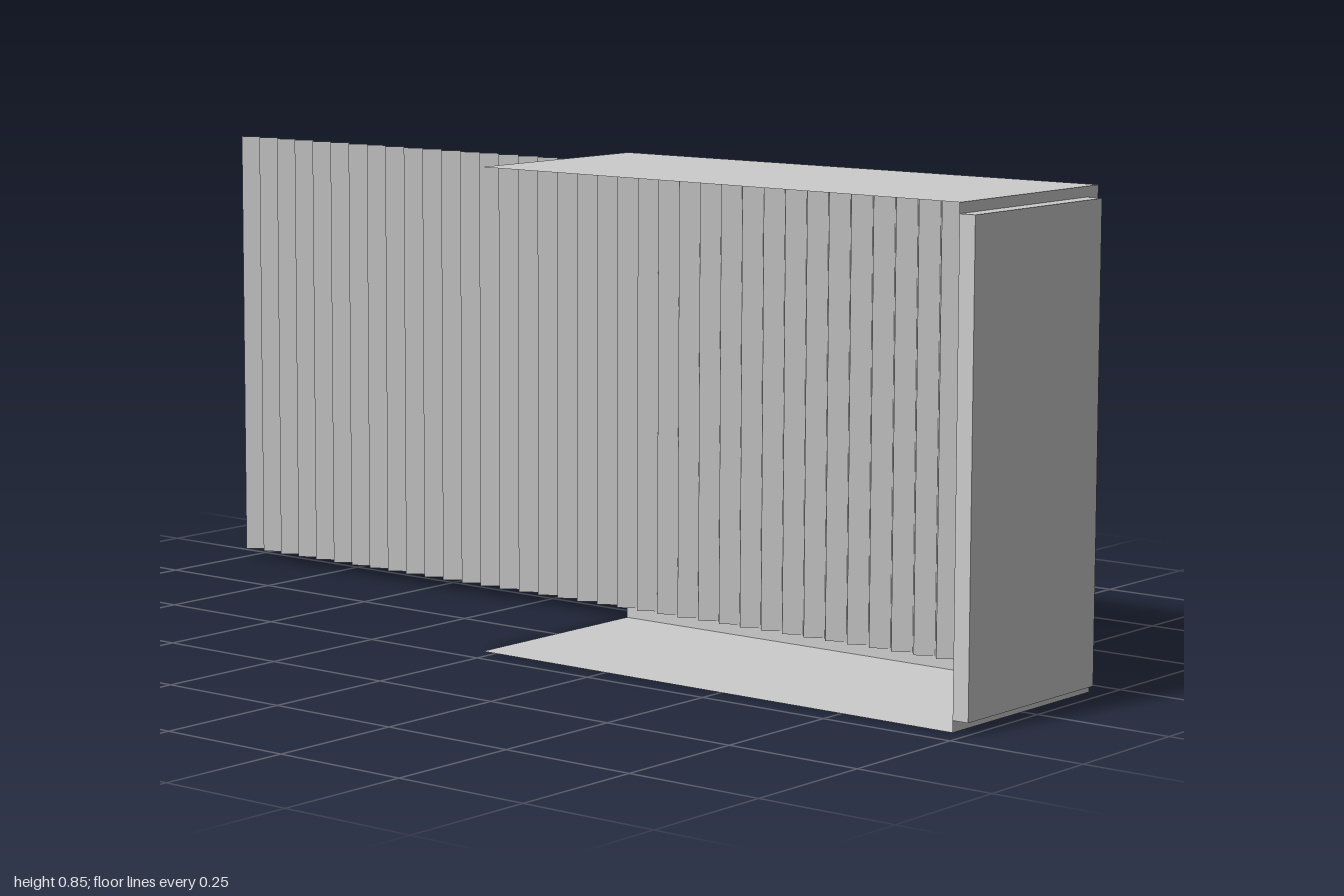
import * as THREE from 'three';

const material = new THREE.MeshStandardMaterial({
  color: 0xcccccc, side: THREE.DoubleSide, flatShading: true,
});

// Overall sizes of the open shell
const X0 = -0.03, X1 = 0.97, H = 0.853, Z = 0.2;
const Y_IN0 = 0.02, Y_IN1 = 0.835; // inner edge of the rims
const X_IN = 0.94, Z_IN = -0.165, X_END = 1;

// Flat rim with three sides; the fourth side (u = a) is open
function rim(a, b, inner) {
  const s = new THREE.Shape([
    [a, 0], [b, 0], [b, H], [a, H], [a, Y_IN1], [inner, Y_IN1], [inner, Y_IN0], [a, Y_IN0],
  ].map(([u, v]) => new THREE.Vector2(u, v)));
  return new THREE.ShapeGeometry(s);
}

// Upright sheet that follows a ground path of [x, z] points
function sheet(path, y0, y1) {
  const pos = [], index = [];
  path.forEach(([x, z], i) => {
    pos.push(x, y0, z, x, y1, z);
    if (i) {
      const k = 2 * i;
      index.push(k - 2, k, k + 1, k - 2, k + 1, k - 1);
    }
  });
  const g = new THREE.BufferGeometry();
  g.setAttribute('position', new THREE.Float32BufferAttribute(pos, 3));
  g.setIndex(index);
  g.computeVertexNormals();
  return g;
}

// Horizontal sheet
function slab(x0, x1, z0, z1, y) {
  return new THREE.PlaneGeometry(x1 - x0, z1 - z0)
    .rotateX(-Math.PI / 2)
    .translate((x0 + x1) / 2, y, (z0 + z1) / 2);
}

export function createModel() {
  const group = new THREE.Group();
  const add = (name, geometry) => {
    const mesh = new THREE.Mesh(geometry, material);
    mesh.name = name;
    group.add(mesh);
  };

  // Roof and floor
  add('roof', slab(X0, X1, -Z, Z, H));
  add('floor', slab(X0, X1, -Z, Z, 0));

  // Rims around the back wall and the end wall
  add('backRim', rim(X0, X1, X_IN).translate(0, 0, -Z));
  add('endRim', rim(-Z, Z, -Z_IN).rotateY(Math.PI / 2).translate(X1, 0, 0));

  // Raised end panel
  add('endPanelSides', sheet([[X1, Z], [X_END, Z], [X_END, Z_IN], [X1, Z_IN]], Y_IN0, Y_IN1));
  add('endPanelTop', slab(X1, X_END, Z_IN, Z, Y_IN1));
  add('endPanelBottom', slab(X1, X_END, Z_IN, Z, Y_IN0));

  // Long corrugated back wall, one steep and one shallow face per ridge
  const ridges = 41, pitch = (X_IN + 1) / ridges, path = [];
  for (let i = 0; i < ridges; i++) {
    const x = -1 + i * pitch;
    path.push([x, -Z], [x + pitch * 0.34, -Z + 0.02]);
  }
  path.push([X_IN, -Z]);
  add('corrugatedWall', sheet(path, Y_IN0, Y_IN1));

  return group;
}
